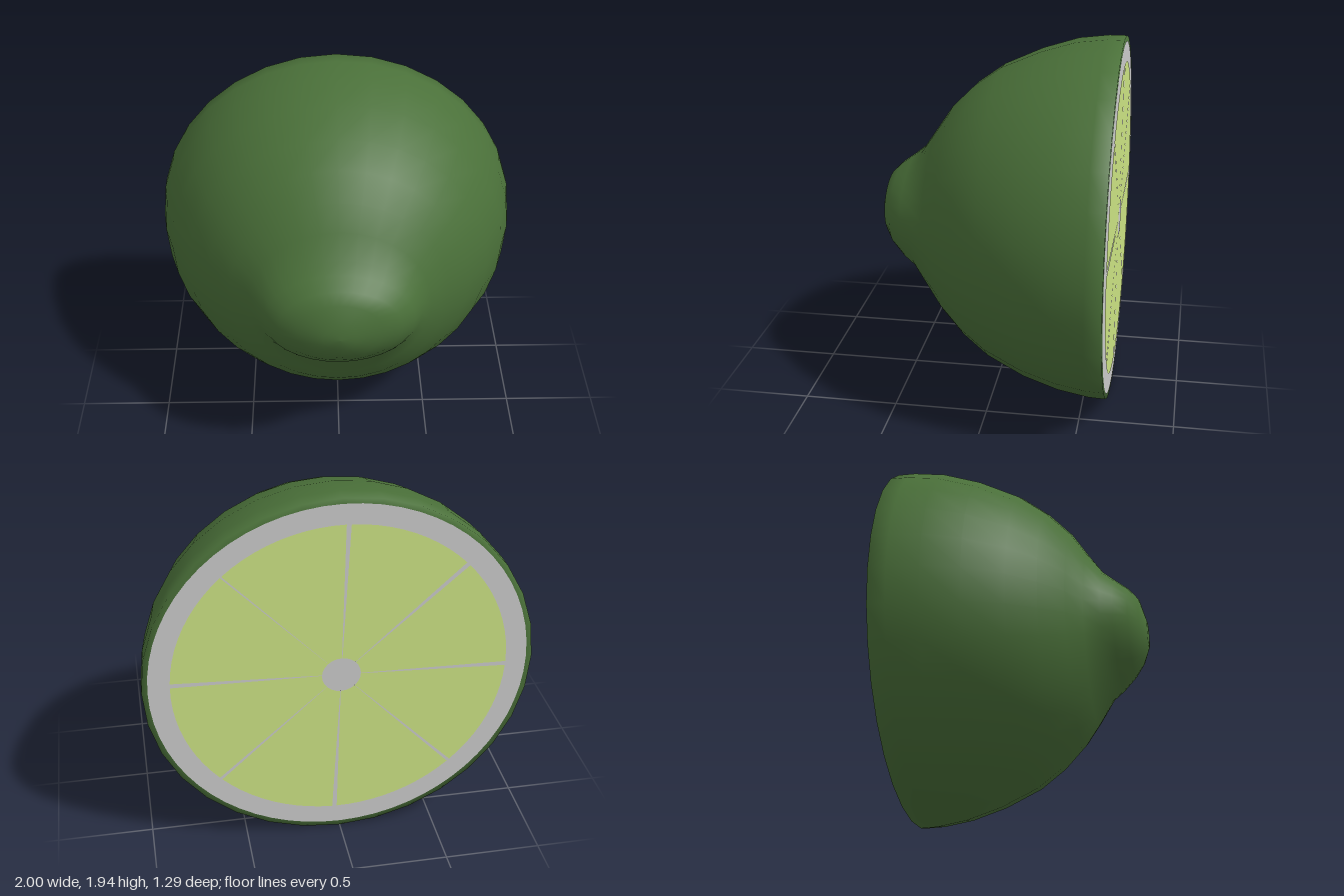
import * as THREE from 'three';

const BACK = -0.64, CY = 0.97, SIDES = 32;

// Cross-sections of the peel from the cut rim to the tip: [z, half width, bottom y, top y]
const RINGS = [
  [BACK, 0.955, 0.045, 1.895], [BACK, 1, 0, 1.94], [-0.55, 0.998, 0.003, 1.94],
  [-0.39, 0.975, 0.03, 1.92], [-0.2, 0.92, 0.09, 1.86], [0, 0.815, 0.18, 1.77],
  [0.14, 0.705, 0.28, 1.67], [0.26, 0.585, 0.4, 1.55], [0.34, 0.485, 0.51, 1.43],
  [0.42, 0.43, 0.65, 1.31], [0.48, 0.39, 0.7, 1.26], [0.55, 0.32, 0.77, 1.21],
  [0.6, 0.22, 0.83, 1.16], [0.635, 0.09, 0.91, 1.04], [0.64, 0, 0.97, 0.97],
];

function peelGeometry() {
  const pos = [], index = [];
  RINGS.forEach(([z, rx, y0, y1], i) => {
    for (let j = 0; j < SIDES; j++) {
      const t = (j / SIDES) * Math.PI * 2;
      pos.push(rx * Math.cos(t), (y0 + y1) / 2 + ((y1 - y0) / 2) * Math.sin(t), z);
      if (i === RINGS.length - 1) continue;
      const a = i * SIDES + j, b = i * SIDES + ((j + 1) % SIDES);
      index.push(a, b, b + SIDES, a, b + SIDES, a + SIDES);
    }
  });
  const geo = new THREE.BufferGeometry();
  geo.setAttribute('position', new THREE.Float32BufferAttribute(pos, 3));
  geo.setIndex(index);
  geo.computeVertexNormals();
  return geo;
}

export function createModel() {
  const model = new THREE.Group();
  const green = new THREE.MeshStandardMaterial({ color: 0x4a7039 });
  const pith = new THREE.MeshStandardMaterial({ color: 0xcccccc });
  const flesh = new THREE.MeshStandardMaterial({ color: 0xcde484 });

  const add = (parent, name, geo, mat) => {
    const mesh = new THREE.Mesh(geo, mat);
    mesh.name = name;
    parent.add(mesh);
    return mesh;
  };

  // Rind with its pointed tip
  add(model, 'peel', peelGeometry(), green);

  // Cut face, turned to look backwards
  const face = new THREE.Group();
  face.name = 'cutFace';
  face.position.set(0, CY, BACK);
  face.rotation.y = Math.PI;
  face.scale.y = CY;
  model.add(face);

  add(face, 'pith', new THREE.CircleGeometry(0.97, 64), pith).position.z = 0.001;
  add(face, 'core', new THREE.CircleGeometry(0.1, 24), pith).position.z = 0.007;

  // Eight pulp wedges, parted by thin membranes of uneven width
  const gaps = [0.014, 0.014, 0.014, 0.005, 0.014, 0.01, 0.014, 0.01];
  const segments = new THREE.Group();
  segments.name = 'pulpSegments';
  face.add(segments);
  gaps.forEach((gap, i) => {
    const start = (i * Math.PI) / 4 - 0.035 + gap;
    const end = ((i + 1) * Math.PI) / 4 - 0.035 - gaps[(i + 1) % 8];
    const wedge = new THREE.CircleGeometry(0.86, 10, start, end - start);
    add(segments, 'pulpSegment', wedge, flesh).position.z = 0.004;
  });

  return model;
}
